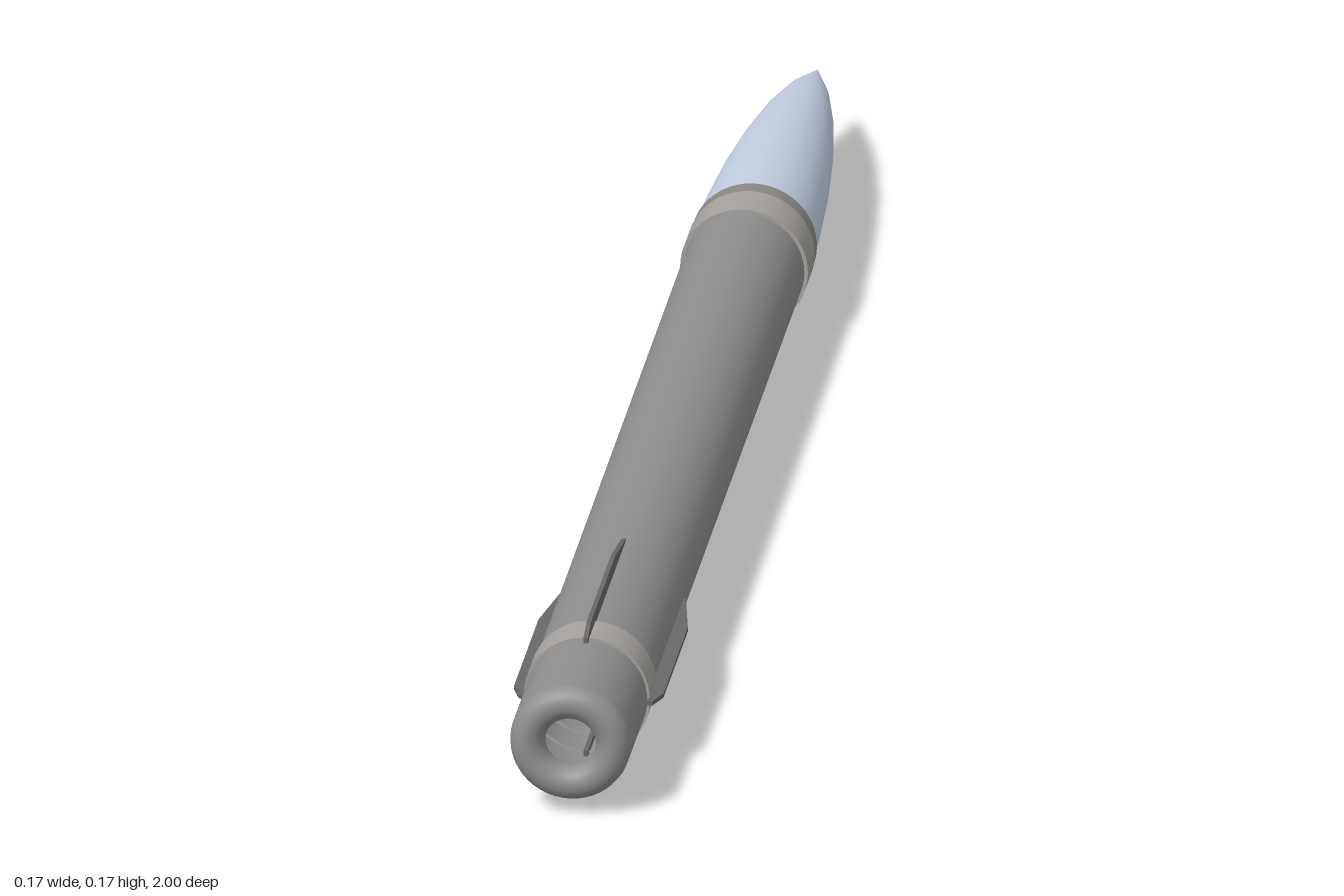
import * as THREE from 'three';

const AXIS_Y = 0.083;
const SEGMENTS = 48;

function material(color) {
  return new THREE.MeshStandardMaterial({ color, side: THREE.DoubleSide });
}

// Surface of revolution along z from [z, radius] pairs
function revolve(name, profile, mat) {
  const points = profile.map(([z, r]) => new THREE.Vector2(r, z));
  const geometry = new THREE.LatheGeometry(points, SEGMENTS);
  geometry.rotateX(Math.PI / 2);
  const mesh = new THREE.Mesh(geometry, mat);
  mesh.name = name;
  return mesh;
}

// Short collar with flat ends, wrapped round the body
function collar(name, z0, z1, r0, r1, mat) {
  const group = new THREE.Group();
  group.name = name;
  group.add(
    revolve(name + 'Side', [[z0, r0], [z1, r1]], mat),
    revolve(name + 'FrontEdge', [[z0, 0.064], [z0, r0]], mat),
    revolve(name + 'RearEdge', [[z1, r1], [z1, 0.064]], mat)
  );
  return group;
}

export function createModel() {
  const model = new THREE.Group();
  model.name = 'missile';
  const rocket = new THREE.Group();
  rocket.name = 'rocket';
  rocket.position.y = AXIS_Y;
  model.add(rocket);

  const bodyMat = material(0x8e8e8e);
  const bandMat = material(0xa5a29e);
  const darkBandMat = material(0x8a8885);
  const noseMat = material(0xc3cfe2);
  const finMat = material(0x686868);

  // Hollow tube and pointed nose
  rocket.add(revolve('body', [[-0.49, 0.067], [0.98, 0.067]], bodyMat));
  rocket.add(revolve('nose', [
    [-1, 0.0001], [-0.92, 0.024], [-0.84, 0.04], [-0.75, 0.052],
    [-0.65, 0.061], [-0.56, 0.066], [-0.485, 0.068],
  ], noseMat));

  // Collars behind the nose and over the fins' rear ends
  rocket.add(collar('noseRing', -0.49, -0.465, 0.07, 0.07, darkBandMat));
  rocket.add(collar('forwardBand', -0.465, -0.41, 0.071, 0.071, bandMat));
  rocket.add(collar('rearBand', 0.80, 0.85, 0.07, 0.07, bandMat));

  // Rounded lip around the open nozzle
  const lip = new THREE.Mesh(new THREE.TorusGeometry(0.0475, 0.0195, 20, SEGMENTS), bodyMat);
  lip.name = 'nozzleLip';
  lip.position.z = 0.9805;
  rocket.add(lip);

  // Four thin fins, drawn as radius against distance along the body
  const finShape = new THREE.Shape([
    [0.06, 0.555], [0.069, 0.555], [0.083, 0.64], [0.083, 0.835], [0.074, 0.86], [0.06, 0.86],
  ].map(([r, z]) => new THREE.Vector2(r, z)));
  const finGeometry = new THREE.ExtrudeGeometry(finShape, { depth: 0.005, bevelEnabled: false });
  finGeometry.translate(0, 0, -0.0025);
  finGeometry.rotateX(Math.PI / 2);
  for (let i = 0; i < 4; i++) {
    const fin = new THREE.Mesh(finGeometry, finMat);
    fin.name = 'fin' + (i + 1);
    fin.rotation.z = i * Math.PI / 2;
    rocket.add(fin);
  }

  return model;
}
